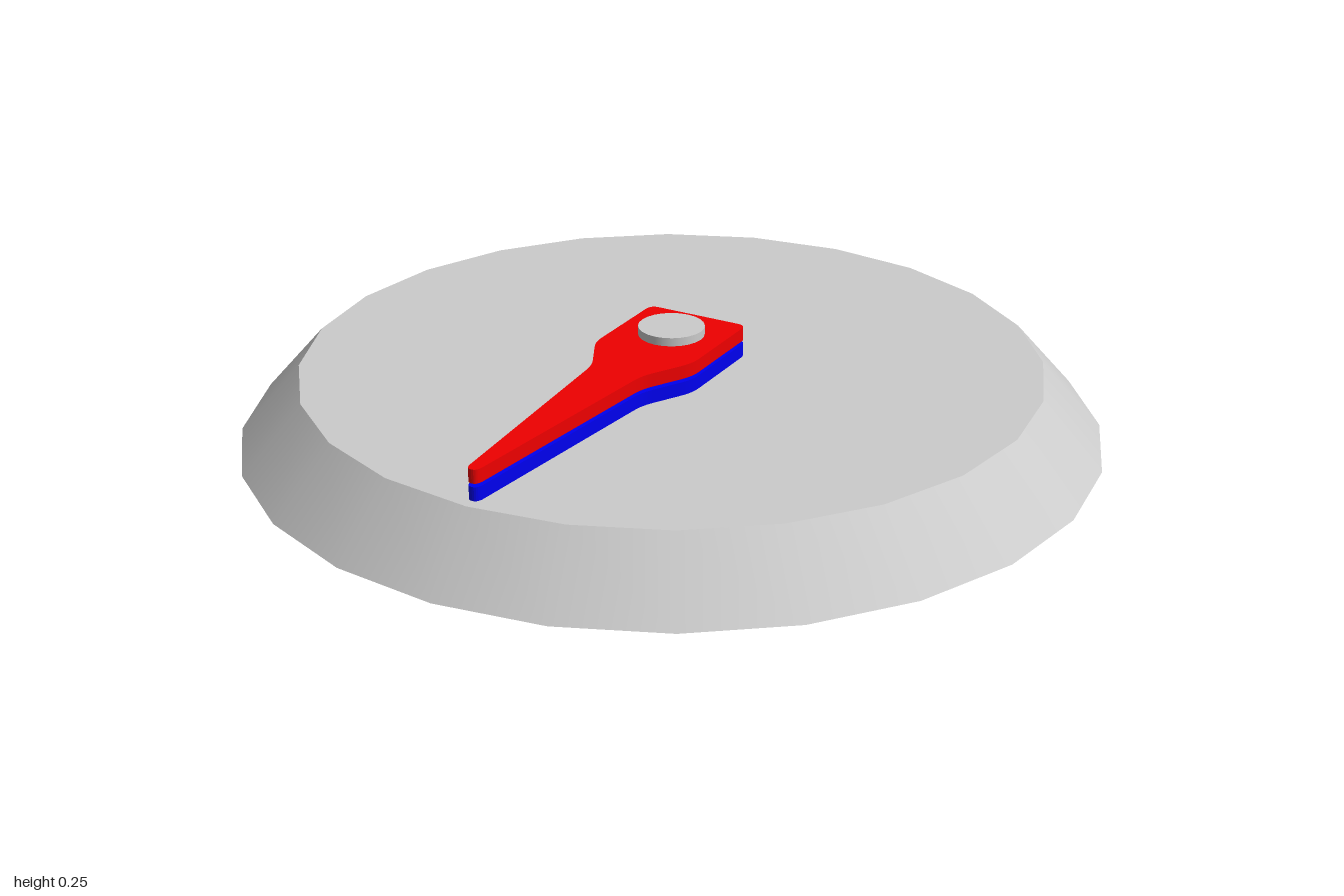
import * as THREE from 'three';

const SIDES = 24;

export function createModel() {
  const model = new THREE.Group();
  const add = (name, geometry, color = 0xcccccc) => {
    const material = new THREE.MeshStandardMaterial({ color, side: THREE.DoubleSide });
    const mesh = new THREE.Mesh(geometry, material);
    mesh.name = name;
    model.add(mesh);
  };

  // Base: a sloped open skirt closed by a flat plate on top
  add('baseSkirt', new THREE.LatheGeometry(
    [new THREE.Vector2(1, 0), new THREE.Vector2(0.86, 0.16)], SIDES));
  add('basePlate', new THREE.CircleGeometry(0.86, SIDES).rotateX(-Math.PI / 2).translate(0, 0.16, 0));

  // Pointer outline: rounded square hub, curved shoulders, long taper to a blunt tip
  const s = new THREE.Shape();
  s.moveTo(-0.105, -0.127);
  s.lineTo(0.105, -0.127);
  s.quadraticCurveTo(0.127, -0.127, 0.127, -0.105);
  s.lineTo(0.127, 0.1);
  s.quadraticCurveTo(0.127, 0.13, 0.113, 0.155);
  s.lineTo(0.076, 0.225);
  s.quadraticCurveTo(0.063, 0.25, 0.061, 0.28);
  s.lineTo(0.015, 0.82);
  s.quadraticCurveTo(0.013, 0.838, 0, 0.838);
  s.quadraticCurveTo(-0.013, 0.838, -0.015, 0.82);
  s.lineTo(-0.061, 0.28);
  s.quadraticCurveTo(-0.063, 0.25, -0.076, 0.225);
  s.lineTo(-0.113, 0.155);
  s.quadraticCurveTo(-0.127, 0.13, -0.127, 0.1);
  s.lineTo(-0.127, -0.105);
  s.quadraticCurveTo(-0.127, -0.127, -0.105, -0.127);

  // Two stacked pointers with a thin gap between them
  const pointer = (bottom, top) => new THREE.ExtrudeGeometry(s,
    { depth: top - bottom, bevelEnabled: false, curveSegments: 5 })
    .rotateX(Math.PI / 2).translate(0, top, 0);
  add('lowerPointer', pointer(0.163, 0.195), 0x0000ee);
  add('upperPointer', pointer(0.203, 0.235), 0xee0000);

  // Pivot pin: capped on top, hollow where it pokes out under the plate
  add('pinSide', new THREE.CylinderGeometry(0.077, 0.077, 0.115, SIDES, 1, true).translate(0, 0.1975, 0));
  add('pinCap', new THREE.CircleGeometry(0.077, SIDES).rotateX(-Math.PI / 2).translate(0, 0.255, 0));

  return model;
}
